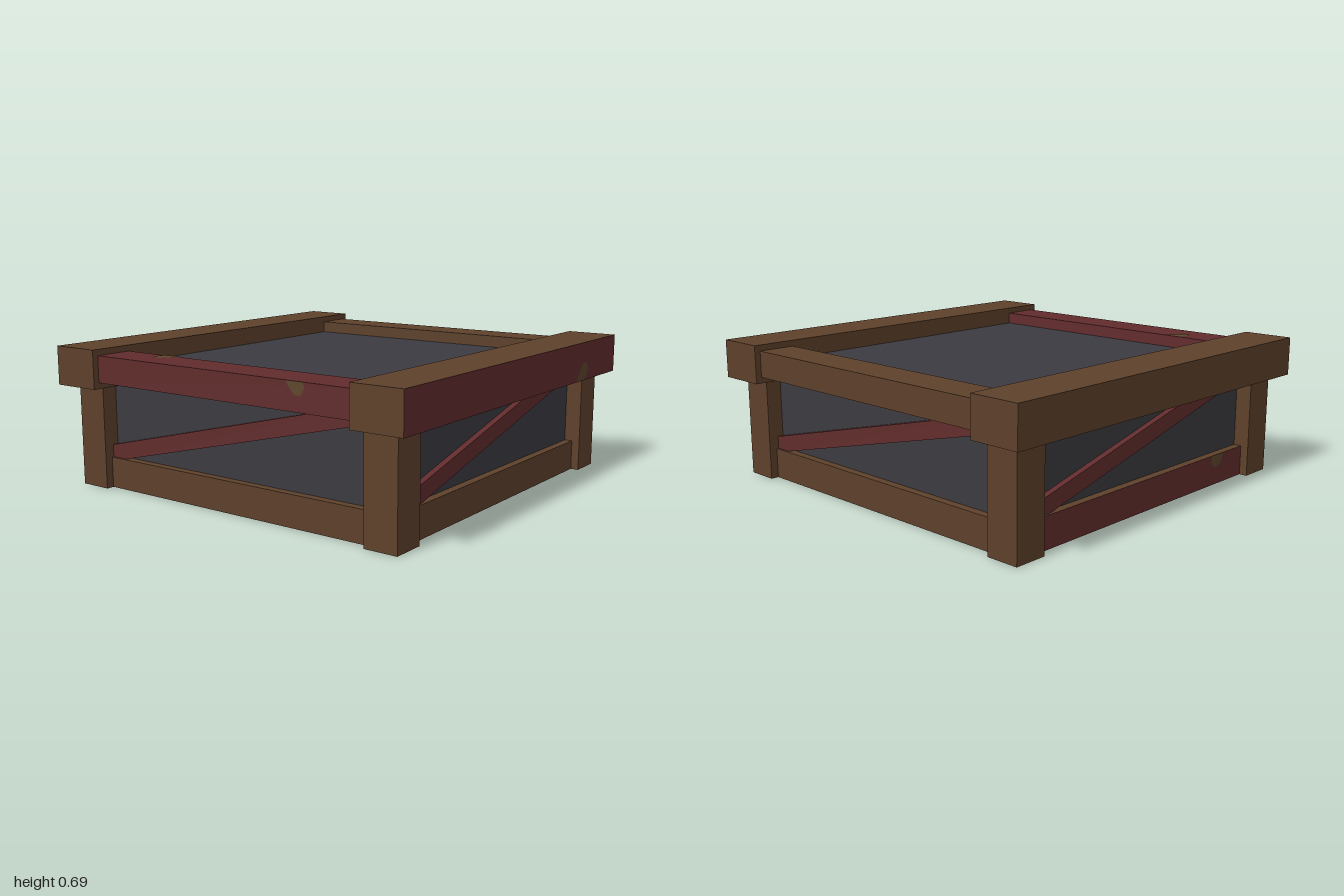
import * as THREE from 'three';

export function createModel() {
  const model = new THREE.Group();
  model.name = 'woodenCrateLid';

  const material = (name, color) => {
    const m = new THREE.MeshStandardMaterial({ color });
    m.name = name;
    return m;
  };
  const wood = material('brown wood', 0x5e412b);
  const red = material('faded red paint', 0x622c2d);
  const dark = material('dark panel', 0x3c3b41);
  const bare = material('bare wood patch', 0x5e462d);

  // Box from min/max corners; materials may be listed per face (+x -x +y -y +z -z)
  const box = (name, [x0, x1], [y0, y1], [z0, z1], mat) => {
    const mesh = new THREE.Mesh(new THREE.BoxGeometry(x1 - x0, y1 - y0, z1 - z0), mat);
    mesh.position.set((x0 + x1) / 2, (y0 + y1) / 2, (z0 + z1) / 2);
    mesh.name = name;
    model.add(mesh);
    return mesh;
  };

  // Dark inner body and the base frame around its foot
  box('innerPanel', [-0.85, 0.85], [0.1, 0.6], [-0.85, 0.85], dark);
  box('baseFrame', [-0.89, 0.89], [0, 0.15], [-0.89, 0.89], [wood, red, wood, wood, wood, wood]);

  // Corner posts
  for (const sx of [-1, 1]) {
    for (const sz of [-1, 1]) {
      const post = box('cornerPost', [-0.082, 0.082], [0, 0.5], [-0.082, 0.082], wood);
      post.position.x = sx * 0.848;
      post.position.z = sz * 0.848;
    }
  }

  // Top beams
  box('leftTopBeam', [0.745, 1], [0.5, 0.69], [-1, 1], [red, wood, wood, wood, wood, wood]);
  box('rightTopBeam', [-1, -0.745], [0.5, 0.69], [-1, 1], wood);
  box('frontTopBeam', [-0.75, 0.75], [0.53, 0.66], [0.775, 0.97], red);
  box('backTopBeam', [-0.75, 0.75], [0.53, 0.66], [-0.97, -0.78], [wood, wood, wood, red, wood, wood]);

  // One diagonal brace on each side
  for (let i = 0; i < 4; i++) {
    const side = new THREE.Group();
    side.name = 'diagonalBrace';
    const brace = new THREE.Mesh(new THREE.BoxGeometry(1.64, 0.08, 0.06), red);
    brace.name = 'brace';
    brace.position.set(0, 0.358, 0.85);
    brace.rotation.z = Math.atan(0.246);
    side.add(brace);
    side.rotation.y = i * Math.PI / 2;
    model.add(side);
  }

  // Worn patches where the paint has come off
  const patch = (name, points, position, rotation) => {
    const shape = new THREE.Shape(points.map(([x, y]) => new THREE.Vector2(x, y)));
    const mesh = new THREE.Mesh(new THREE.ShapeGeometry(shape), bare);
    mesh.name = name;
    mesh.position.set(...position);
    mesh.rotation.set(...rotation);
    model.add(mesh);
  };
  patch('frontWornPatch',
    [[0.4, 0.66], [0.42, 0.63], [0.45, 0.6], [0.485, 0.605], [0.5, 0.635], [0.495, 0.66]],
    [0, 0, 0.972], [0, 0, 0]);
  patch('topWornPatch',
    [[-0.5, -0.775], [-0.505, -0.82], [-0.49, -0.86], [-0.45, -0.86], [-0.42, -0.81], [-0.4, -0.775]],
    [0, 0.662, 0], [-Math.PI / 2, 0, 0]);
  patch('sideWornPatch',
    [[0.54, 0.5], [0.62, 0.5], [0.655, 0.52], [0.67, 0.56], [0.65, 0.59], [0.61, 0.585], [0.57, 0.545]],
    [1.0015, 0, 0], [0, Math.PI / 2, 0]);
  patch('baseWornPatch',
    [[0.5, 0.15], [0.5, 0.11], [0.54, 0.085], [0.58, 0.1], [0.6, 0.15]],
    [-0.892, 0, 0], [0, -Math.PI / 2, 0]);

  return model;
}
